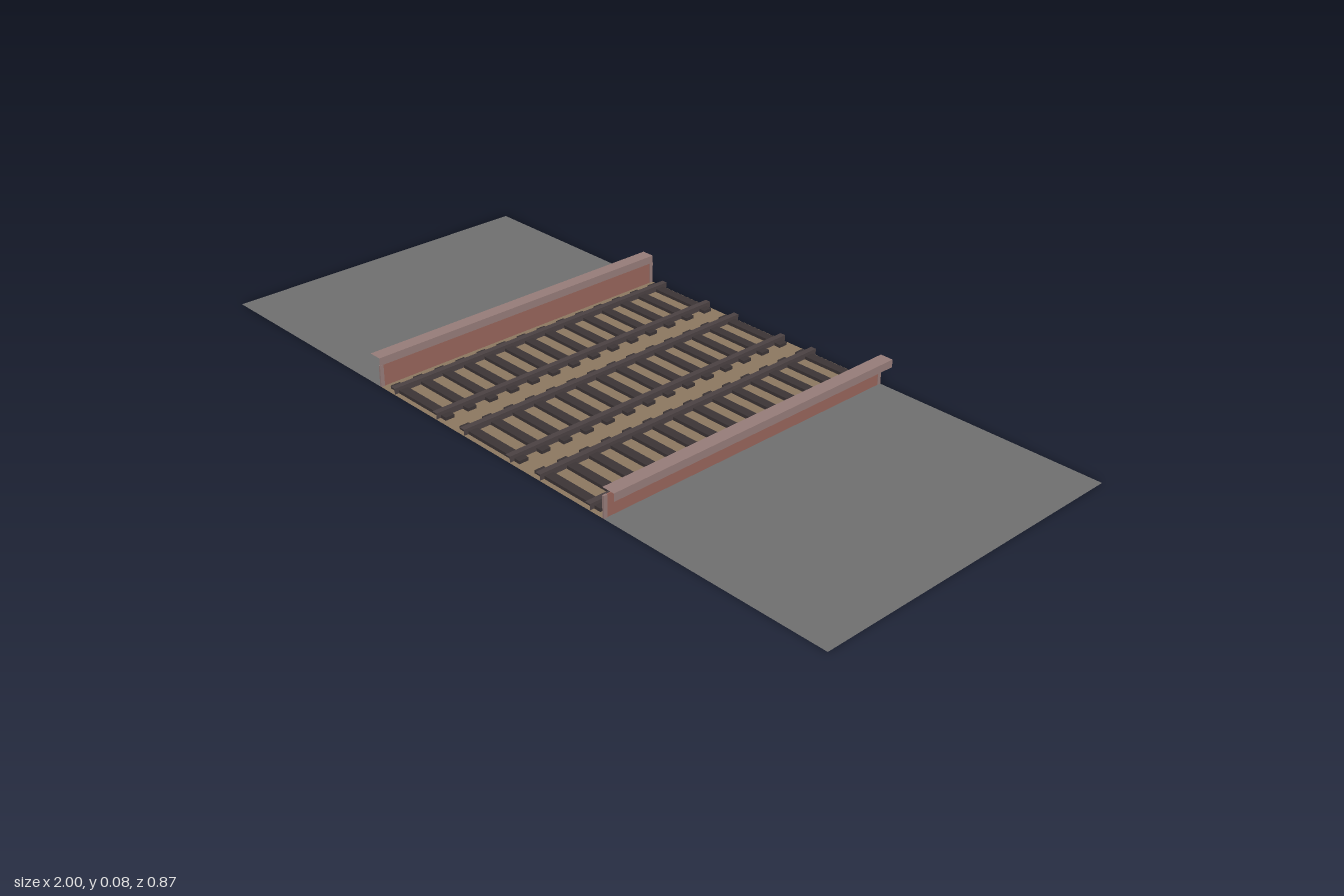
import * as THREE from 'three';

const HALF_X = 1, HALF_Z = 0.435, WALL_X = 0.39;

const makeMaterial = (name, color, side = THREE.FrontSide) => {
  const m = new THREE.MeshStandardMaterial({ color, side });
  m.name = name;
  return m;
};

export function createModel() {
  const group = new THREE.Group();
  const pavement = makeMaterial('pavement grey', 0x6e6e6e, THREE.DoubleSide);
  const gravel = makeMaterial('gravel brown', 0x8b7760, THREE.DoubleSide);
  const brick = makeMaterial('brick red', 0x96645a);
  const stone = makeMaterial('stone pink', 0x957b78);
  const timber = makeMaterial('sleeper dark', 0x3b3435);
  const steel = makeMaterial('rail dark', 0x4a4142);

  const add = (parent, name, geometry, material, x, y, z) => {
    const mesh = new THREE.Mesh(geometry, material);
    mesh.name = name;
    mesh.position.set(x, y, z);
    parent.add(mesh);
    return mesh;
  };
  const sheet = (w) => new THREE.PlaneGeometry(w, HALF_Z * 2).rotateX(-Math.PI / 2);

  // Box without its two z ends, for tiles that continue end to end
  const openBox = (w, h, d) => {
    const g = new THREE.BoxGeometry(w, h, d);
    g.setIndex(Array.from(g.index.array.slice(0, 24)));
    g.clearGroups();
    return g;
  };

  // Ground
  add(group, 'trackBed', sheet(WALL_X * 2), gravel, 0, 0, 0);

  // Pavement and low wall on each side
  for (const s of [-1, 1]) {
    const side = new THREE.Group();
    side.name = s < 0 ? 'rightSide' : 'leftSide';
    group.add(side);
    add(side, 'pavement', sheet(HALF_X - WALL_X), pavement, s * (HALF_X + WALL_X) / 2, 0, 0);
    add(side, 'brickWall', openBox(0.003, 0.055, 0.85), brick, s * 0.389, 0.0275, 0);
    for (const e of [-1, 1]) {
      add(side, 'wallPost', new THREE.BoxGeometry(0.005, 0.055, 0.01), stone, s * 0.389, 0.0275, e * 0.43);
    }
    add(side, 'coping', openBox(0.035, 0.02, HALF_Z * 2), stone, s * 0.4045, 0.065, 0);
  }

  // Three parallel tracks
  const sleeperGeometry = new THREE.BoxGeometry(0.21, 0.008, 0.025);
  const railGeometry = openBox(0.015, 0.015, HALF_Z * 2);
  for (const x of [-0.261, 0, 0.261]) {
    const track = new THREE.Group();
    track.name = 'track';
    track.position.x = x;
    group.add(track);
    for (let i = 0; i < 14; i++) {
      add(track, 'sleeper', sleeperGeometry, timber, 0, 0.004, -0.41 + (i * 0.82) / 13);
    }
    for (const s of [-1, 1]) add(track, 'rail', railGeometry, steel, s * 0.08, 0.0085, 0);
  }
  return group;
}
